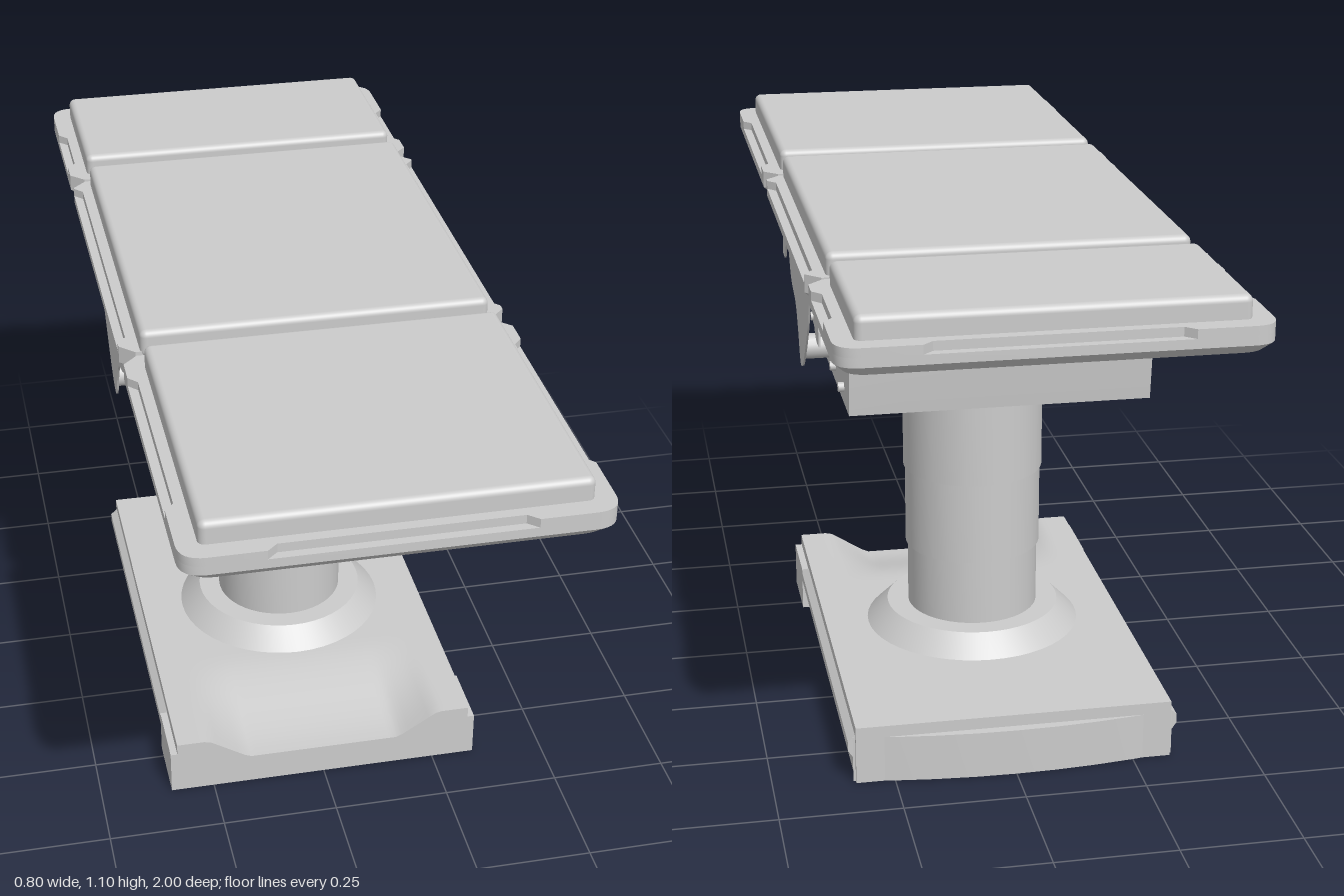
import * as THREE from 'three';
import { toCreasedNormals } from 'three/addons/utils/BufferGeometryUtils.js';
import { RoundedBoxGeometry } from 'three/addons/geometries/RoundedBoxGeometry.js';

const grey = new THREE.MeshStandardMaterial({ color: 0xcccccc, side: THREE.DoubleSide });
const COLUMN_Z = -0.145;

export function createModel() {
  const model = new THREE.Group();

  const add = (name, geometry, x = 0, y = 0, z = 0) => {
    const mesh = new THREE.Mesh(geometry, grey);
    mesh.name = name;
    mesh.position.set(x, y, z);
    model.add(mesh);
    return mesh;
  };
  const box = (name, x0, x1, y0, y1, z0, z1) =>
    add(name, new THREE.BoxGeometry(x1 - x0, y1 - y0, z1 - z0), (x0 + x1) / 2, (y0 + y1) / 2, (z0 + z1) / 2);
  // Rod between two points, with a radius at each end
  const rod = (name, a, b, ra, rb = ra) => {
    const from = new THREE.Vector3(...a), to = new THREE.Vector3(...b);
    const dir = to.clone().sub(from);
    const mesh = add(name, new THREE.CylinderGeometry(rb, ra, dir.length(), 16));
    mesh.position.copy(from).add(to).multiplyScalar(0.5);
    mesh.quaternion.setFromUnitVectors(new THREE.Vector3(0, 1, 0), dir.normalize());
  };
  // Side profile in (z, y), given thickness along x
  const sideExtrude = (shape, width) => {
    const g = new THREE.ExtrudeGeometry(shape, { depth: width, bevelEnabled: false, curveSegments: 10 });
    g.translate(0, 0, -width / 2).rotateY(-Math.PI / 2);
    return toCreasedNormals(g, 0.6);
  };
  const polygon = (pts) => new THREE.Shape(pts.map(([a, b]) => new THREE.Vector2(a, b)));
  // Plan outline in (x, z), laid flat and raised to a height
  const flatExtrude = (shape, depth, steps = 1) =>
    new THREE.ExtrudeGeometry(shape, { depth, steps, bevelEnabled: false, curveSegments: 8 }).rotateX(-Math.PI / 2);

  // --- Base: deck whose top dips towards the front ---
  const clamp = THREE.MathUtils.clamp;
  const deck = new THREE.BoxGeometry(0.66, 0.125, 1.005, 44, 1, 40);
  deck.translate(0, 0.0625, -0.1325);
  const p = deck.attributes.position;
  for (let i = 0; i < p.count; i++) {
    if (p.getY(i) < 0.1) continue;
    const across = clamp((0.26 - Math.abs(p.getX(i))) / 0.09, 0, 1);
    const along = THREE.MathUtils.smoothstep(p.getZ(i), 0.08, 0.37);
    p.setY(i, 0.125 - 0.057 * across * along);
  }
  deck.computeVertexNormals();
  add('baseDeck', toCreasedNormals(deck, 0.5));
  for (const s of [-1, 1]) {
    box('baseFrontCorner', s * 0.335 - 0.01, s * 0.335 + 0.01, 0, 0.1, 0.22, 0.37);
    const rail = polygon([[0.32, 0.045], [0.335, 0.055], [0.345, 0.07], [0.345, 0.09], [0.33, 0.103], [0.32, 0.103]]);
    const g = new THREE.ExtrudeGeometry(rail, { depth: 0.845, bevelEnabled: false });
    add('baseSideRail', s > 0 ? g : g.rotateZ(Math.PI).scale(1, -1, 1), 0, 0, -0.625);
  }
  // Bowed rear bumper
  const bumper = new THREE.Shape();
  bumper.moveTo(-0.33, 0.6);
  bumper.lineTo(0.33, 0.6);
  bumper.lineTo(0.335, 0.625);
  bumper.quadraticCurveTo(0, 0.685, -0.335, 0.625);
  add('baseRearBumper', toCreasedNormals(flatExtrude(bumper, 0.1), 0.5));

  // --- Collar and telescopic column ---
  const lathe = (pts) => toCreasedNormals(
    new THREE.LatheGeometry(pts.map(([r, y]) => new THREE.Vector2(r, y)), 48), 0.4);
  add('columnCollar', lathe([[0.24, 0.06], [0.245, 0.113], [0.235, 0.125], [0.19, 0.17], [0.14, 0.17]]), 0, 0, COLUMN_Z);
  add('column', lathe([
    [0.143, 0.15], [0.143, 0.315], [0.148, 0.315], [0.148, 0.495], [0.152, 0.495],
    [0.152, 0.68], [0.156, 0.68], [0.156, 0.74],
  ]), 0, 0, COLUMN_Z);

  // --- Housing under the top ---
  const housing = new THREE.Shape();
  housing.moveTo(0.2, 1.0);
  housing.lineTo(0.2, 0.88);
  housing.lineTo(0.188, 0.76);
  housing.quadraticCurveTo(0.185, 0.735, 0.16, 0.735);
  housing.lineTo(-0.465, 0.735);
  housing.lineTo(-0.48, 0.88);
  housing.lineTo(-0.485, 1.0);
  add('housing', sideExtrude(housing, 0.62));

  // Wavy side skirts with rollers and pegs
  const skirt = new THREE.Shape();
  skirt.moveTo(-0.485, 1.01);
  skirt.lineTo(0.2, 1.01);
  skirt.lineTo(0.2, 0.89);
  skirt.lineTo(0.165, 0.89);
  skirt.splineThru([[0.13, 0.93], [0.1, 0.955], [0.07, 0.93], [0.03, 0.88], [-0.05, 0.85], [-0.09, 0.80],
    [-0.115, 0.75], [-0.14, 0.737], [-0.19, 0.765], [-0.28, 0.86], [-0.33, 0.94], [-0.375, 0.96],
    [-0.42, 0.905], [-0.45, 0.89]].map(([a, b]) => new THREE.Vector2(a, b)));
  skirt.lineTo(-0.485, 0.89);
  const skirtGeometry = sideExtrude(skirt, 0.004);
  for (const s of [-1, 1]) {
    add('sideSkirt', skirtGeometry, s * 0.368);
    rod('skirtRoller', [s * 0.3, 0.78, -0.14], [s * 0.366, 0.78, -0.14], 0.027);
    for (const z of [0.1, -0.04, -0.25, -0.385])
      rod('housingPeg', [s * 0.3, 0.77, z], [s * 0.322, 0.77, z], 0.01);
    // Tilt struts for the foot and head sections
    for (const [z0, z1, z2] of [[0.185, 0.33, 0.44], [-0.465, -0.6, -0.7]]) {
      rod('strutPin', [s * 0.3, 0.912, z0], [s * 0.37, 0.912, z0], 0.006);
      rod('strutEye', [s * 0.332, 0.912, z0], [s * 0.35, 0.912, z0], 0.014);
      rod('strutRod', [s * 0.341, 0.912, z0], [s * 0.341, 0.96, z1], 0.006);
      rod('strutSleeve', [s * 0.341, 0.957, z1], [s * 0.341, 1.0, z2], 0.011);
    }
  }

  // --- Table sections: frame, pad ---
  // Outline with rounded outer end and chamfered inner ends; notch insets the grip recesses
  const outline = ({ z0, z1, roundFront, roundBack, side, frontNotch, backNotch }, notched) => {
    const n = 0.018, half = 0.4, s = new THREE.Shape();
    const a = -z1, b = -z0; // shape y runs towards the back
    const rf = roundFront ? 0.05 : 0.03, rb = roundBack ? 0.05 : 0.03;
    const corner = (round, cx, cy, x, y) => (round ? s.quadraticCurveTo(cx, cy, x, y) : s.lineTo(x, y));
    const endNotch = (y, dir, on) => {
      if (!notched || !on) return;
      for (const [x, d] of [[-0.245, 0], [-0.225, n], [0.225, n], [0.245, 0]])
        s.lineTo(x * dir, y + d * dir);
    };
    const sideNotch = (dir) => {
      if (!notched) return;
      const [lo, hi] = [-side[1], -side[0]];
      const pts = [[lo, 0], [lo + 0.02, n], [hi - 0.02, n], [hi, 0]];
      if (dir < 0) pts.reverse();
      for (const [y, d] of pts) s.lineTo(dir * (half - d), y);
    };
    s.moveTo(-half + rf, a);
    endNotch(a, 1, frontNotch);
    s.lineTo(half - rf, a);
    corner(roundFront, half, a, half, a + rf);
    sideNotch(1);
    s.lineTo(half, b - rb);
    corner(roundBack, half, b, half - rb, b);
    endNotch(b, -1, backNotch);
    s.lineTo(-half + rb, b);
    corner(roundBack, -half, b, -half, b - rb);
    sideNotch(-1);
    s.lineTo(-half, a + rf);
    corner(roundFront, -half, a, -half + rf, a);
    return s;
  };

  const sections = [
    { name: 'foot', z0: 0.275, z1: 1.0, pad: [0.31, 0.96], side: [0.36, 0.84], roundFront: true, frontNotch: true, open: true },
    { name: 'seat', z0: -0.565, z1: 0.26, pad: [-0.555, 0.265], side: [-0.53, 0.215] },
    { name: 'head', z0: -1.0, z1: -0.575, pad: [-0.96, -0.6], side: [-0.84, -0.65], roundBack: true, backNotch: true, open: true },
  ];
  for (const sec of sections) {
    const lower = outline(sec, false);
    if (sec.open) { // recessed underside
      const [h0, h1] = [-sec.z1 + 0.06, -sec.z0 - 0.06];
      lower.holes.push(new THREE.Path([[-0.33, h0], [-0.33, h1], [0.33, h1], [0.33, h0]].map(([a, b]) => new THREE.Vector2(a, b))));
    }
    const g = flatExtrude(lower, 0.037, 2);
    // Pull the bottom ring in for a chamfered lower edge
    const pos = g.attributes.position, mid = (sec.z0 + sec.z1) / 2, halfLen = (sec.z1 - sec.z0) / 2;
    for (let i = 0; i < pos.count; i++) {
      if (pos.getY(i) > 0.005) continue;
      pos.setX(i, pos.getX(i) * 0.955);
      pos.setZ(i, mid + (pos.getZ(i) - mid) * (1 - 0.018 / halfLen));
    }
    g.computeVertexNormals();
    add(sec.name + 'FrameLower', toCreasedNormals(g, 0.5), 0, 1.0, 0);
    add(sec.name + 'FrameUpper', toCreasedNormals(flatExtrude(outline(sec, true), 0.018), 0.5), 0, 1.037, 0);
    const [p0, p1] = sec.pad;
    add(sec.name + 'Pad', new RoundedBoxGeometry(0.72, 0.06, p1 - p0, 4, 0.014), 0, 1.07, (p0 + p1) / 2);
  }

  // Hinge bars between the sections
  for (const z of [0.268, -0.57]) rod('hingeBar', [-0.355, 1.028, z], [0.355, 1.028, z], 0.016);

  // Stiffening rails under foot and head sections
  const footRail = sideExtrude(polygon([[0.32, 1.02], [0.36, 1.0], [0.66, 0.985], [0.9, 0.985], [0.97, 0.998], [0.96, 1.02]]), 0.065);
  const headRail = sideExtrude(polygon([[-0.6, 1.02], [-0.61, 0.965], [-0.7, 0.965], [-0.9, 0.985], [-0.97, 0.998], [-0.96, 1.02]]), 0.065);
  for (const s of [-1, 1]) {
    add('footRail', footRail, s * 0.258);
    add('headRail', headRail, s * 0.258);
  }
  return model;
}
